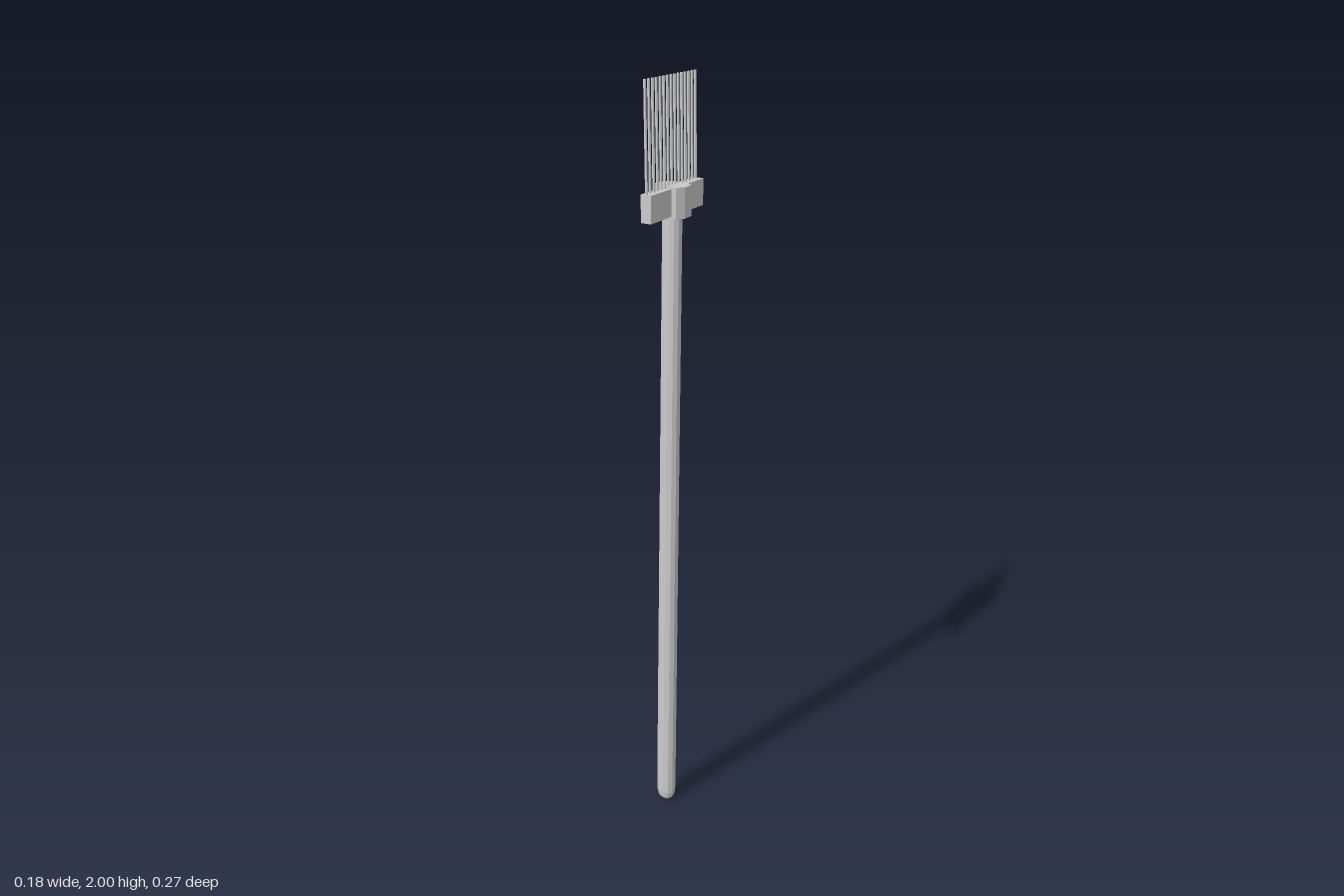
import * as THREE from 'three';

const material = new THREE.MeshStandardMaterial({ color: 0xcccccc, flatShading: true });
// Direction of the head in plan, and how much it rises along that direction
const ALONG = new THREE.Vector2(0.505, 0.863);
const SLOPE = 0.105;
const rise = (x, z) => SLOPE * (x * ALONG.x + z * ALONG.y);

// Prism from a plan outline of [x, z] points, tilted along the head
function tiltedPrism(name, outline, y, height) {
  const shape = new THREE.Shape(outline.map(([x, z]) => new THREE.Vector2(x, -z)));
  const geo = new THREE.ExtrudeGeometry(shape, { depth: height, bevelEnabled: false });
  geo.rotateX(-Math.PI / 2).translate(0, y, 0);
  const p = geo.attributes.position;
  for (let i = 0; i < p.count; i++) p.setY(i, p.getY(i) + rise(p.getX(i), p.getZ(i)));
  geo.computeVertexNormals();
  const mesh = new THREE.Mesh(geo, material);
  mesh.name = name;
  return mesh;
}

export function createModel() {
  const group = new THREE.Group();
  group.name = 'rake';

  // Handle: slightly oval and tapered, rounded butt, leaning a little
  const profile = [[0, 0], [0.015, 0], [0.024, 0.01], [0.028, 0.028], [0.0285, 0.05], [0.0265, 1.69], [0, 1.69]];
  const handleGeo = new THREE.LatheGeometry(profile.map(([r, y]) => new THREE.Vector2(r, y)), 12);
  handleGeo.scale(1, 1, 0.85);
  const hp = handleGeo.attributes.position;
  for (let i = 0; i < hp.count; i++) {
    const t = 1 - hp.getY(i) / 1.69;
    hp.setX(i, hp.getX(i) - 0.015 * t);
    hp.setZ(i, hp.getZ(i) + 0.011 * t);
  }
  handleGeo.computeVertexNormals();
  const handle = new THREE.Mesh(handleGeo, material);
  handle.name = 'handle';
  group.add(handle);

  // Head bar and the chamfered block that joins it to the handle
  group.add(tiltedPrism('headBar',
    [[-0.091, -0.128], [-0.065, -0.138], [0.09, 0.124], [0.065, 0.134]], 1.669, 0.065));
  group.add(tiltedPrism('collar',
    [[0.003, -0.044], [0.024, -0.037], [0.046, -0.002], [0.042, 0.02],
      [-0.006, 0.041], [-0.026, 0.034], [-0.049, -0.005], [-0.043, -0.027]], 1.665, 0.073));

  // Tines: a row of thin rods with a shared lean
  const tines = new THREE.Group();
  tines.name = 'tines';
  const up = new THREE.Vector3(0, 1, 0);
  for (let i = 0; i < 15; i++) {
    const t = (i - 7) / 7;
    const x = 0.0715 * t, z = 0.121 * t;
    const base = new THREE.Vector3(x + 0.001, 1.70 + rise(x, z), z + 0.002);
    const top = new THREE.Vector3(x - 0.009, 1.986 + 0.1 * t * 0.14, z - 0.002);
    const dir = top.clone().sub(base);
    const tine = new THREE.Mesh(new THREE.CylinderGeometry(0.0036, 0.0036, dir.length(), 6), material);
    tine.position.copy(base).add(top).multiplyScalar(0.5);
    tine.quaternion.setFromUnitVectors(up, dir.normalize());
    tine.name = 'tine';
    tines.add(tine);
  }
  group.add(tines);
  return group;
}
